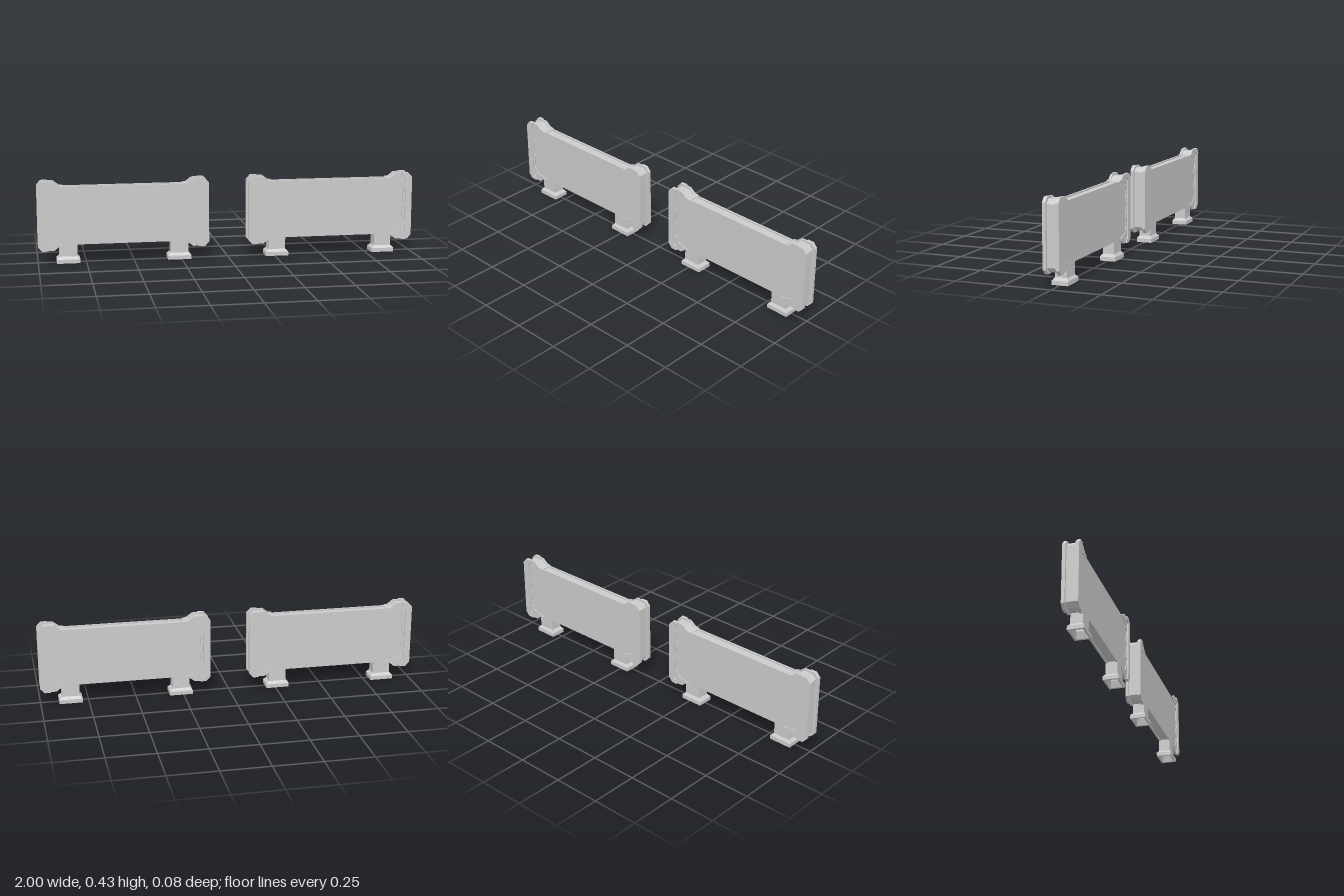
import * as THREE from 'three';

const material = new THREE.MeshStandardMaterial({ color: 0xcccccc, flatShading: true, side: THREE.DoubleSide });
const HALF = 0.4475;   // half the length of one panel
const MID = 0.249;     // height of the panel's centre line

function part(name, geometry, x = 0, y = 0, z = 0) {
  const mesh = new THREE.Mesh(geometry, material);
  mesh.name = name;
  mesh.position.set(x, y, z);
  return mesh;
}

// Flat plate between two depths, outlined by [x, y] points
function plate(points, z0, z1) {
  const shape = new THREE.Shape(points.map(([x, y]) => new THREE.Vector2(x, y)));
  const geometry = new THREE.ExtrudeGeometry(shape, { depth: z1 - z0, bevelEnabled: false });
  return geometry.translate(0, 0, z0);
}

// Half outline from the middle upwards, mirrored to the lower half
function symmetric(half) {
  return [...half, ...half.map(([x, y]) => [x, -y]).reverse()];
}

// Rectangular tube through rings of [half width, half depth, height]
function rectLoft(rings) {
  const position = [], index = [];
  for (const [w, d, y] of rings) position.push(-w, y, d, w, y, d, w, y, -d, -w, y, -d);
  for (let r = 0; r < rings.length - 1; r++) {
    for (let i = 0; i < 4; i++) {
      const a = r * 4 + i, b = r * 4 + (i + 1) % 4;
      index.push(a, b, b + 4, a, b + 4, a + 4);
    }
  }
  const geometry = new THREE.BufferGeometry();
  geometry.setAttribute('position', new THREE.Float32BufferAttribute(position, 3));
  geometry.setIndex(index);
  const flat = geometry.toNonIndexed();
  flat.computeVertexNormals();
  return flat;
}

// End bracket: x = 0 is the outer edge, +x runs inwards, y = 0 is mid height
function createBracket() {
  const bracket = new THREE.Group();
  bracket.name = 'endBracket';

  // raised outer rim, C-shaped with chamfered corners
  const rim = symmetric([
    [0.035, 0.148], [0.05, 0.165], [0.055, 0.182], [0.022, 0.182], [0, 0.158],
  ]);
  // thinner inner plate with a ragged inner edge and stepped corner arms
  const ornament = symmetric([
    [0.042, 0.012], [0.05, 0.03], [0.05, 0.06], [0.042, 0.072], [0.042, 0.1], [0.054, 0.11],
    [0.056, 0.127], [0.075, 0.137], [0.1, 0.139], [0.11, 0.146], [0.14, 0.149], [0.135, 0.154],
    [0.115, 0.157], [0.1, 0.168], [0.085, 0.18], [0.05, 0.18], [0.022, 0.172], [0.012, 0.155],
  ]);
  // recessed core between the plates
  const core = symmetric([
    [0.14, 0.15], [0.105, 0.156], [0.085, 0.172], [0.033, 0.172], [0.012, 0.15],
  ]);

  bracket.add(part('bracketCore', plate(core, -0.026, 0.026)));
  for (const side of [-1, 1]) {
    const layer = (name, points, z0, z1) => {
      const [a, b] = side > 0 ? [z0, z1] : [-z1, -z0];
      bracket.add(part(name, plate(points, a, b)));
    };
    layer('bracketRim', rim, 0.024, 0.042);
    layer('bracketOrnament', ornament, 0.024, 0.036);
  }
  bracket.position.set(-HALF, MID, 0);
  return bracket;
}

// Hollow foot: square post on a flared base
function createFoot(x) {
  return part('foot', rectLoft([
    [0.04, 0.026, 0.035], [0.05, 0.033, 0], [0.061, 0.042, 0],
    [0.061, 0.042, 0.021], [0.046, 0.031, 0.035], [0.046, 0.031, 0.115],
  ]), x);
}

function createPanel(x) {
  const panel = new THREE.Group();
  panel.name = 'barrierPanel';

  // two face sheets with a slightly recessed core
  const length = 2 * (HALF - 0.022);
  panel.add(part('panelCore', new THREE.BoxGeometry(length, 0.29, 0.044), 0, MID));
  for (const side of [-1, 1]) {
    panel.add(part('faceSheet', new THREE.BoxGeometry(length, 0.304, 0.01), 0, MID, side * 0.026));
    panel.add(createFoot(side * 0.291));

    // one bracket per end, turned half a circle
    const end = new THREE.Group();
    end.name = side < 0 ? 'rightEnd' : 'leftEnd';
    end.add(createBracket());
    if (side > 0) end.rotation.y = Math.PI;
    panel.add(end);
  }
  panel.position.x = x;
  return panel;
}

export function createModel() {
  const model = new THREE.Group();
  model.name = 'barrierPair';
  for (const side of [-1, 1]) model.add(createPanel(side * (1 - HALF)));
  return model;
}
